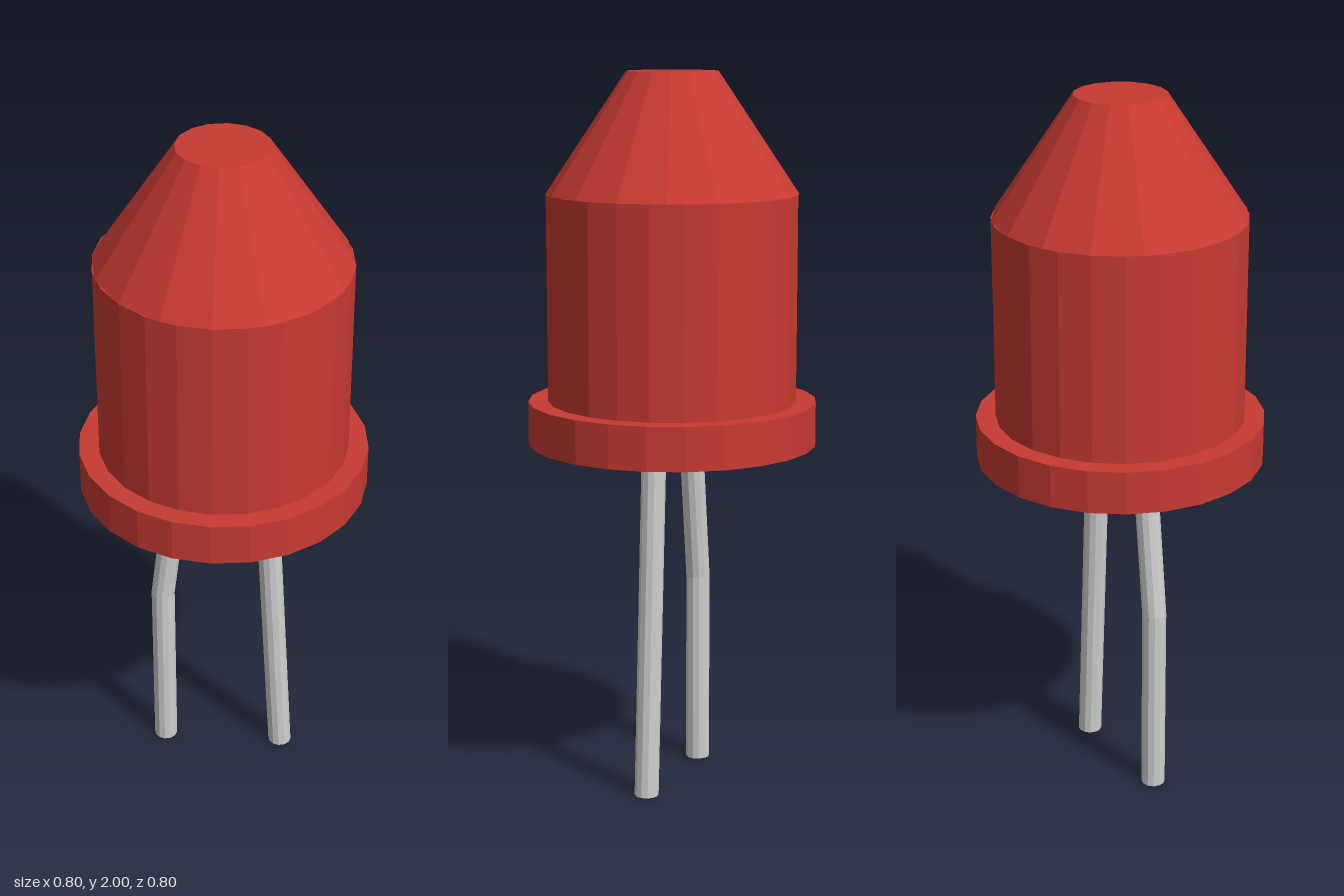
import * as THREE from 'three';

export function createModel() {
  const model = new THREE.Group();
  model.name = 'indicatorLamp';

  const redPlastic = new THREE.MeshStandardMaterial({ color: 0xc83a32, flatShading: true });
  redPlastic.name = 'redPlastic';
  const greyMetal = new THREE.MeshStandardMaterial({ color: 0xcdcfcd, flatShading: true });
  greyMetal.name = 'greyMetal';

  // Upright faceted section between two heights
  function section(name, bottomRadius, topRadius, y0, y1, sides) {
    const geometry = new THREE.CylinderGeometry(topRadius, bottomRadius, y1 - y0, sides);
    const mesh = new THREE.Mesh(geometry, redPlastic);
    mesh.name = name;
    mesh.position.y = (y0 + y1) / 2;
    model.add(mesh);
  }

  section('baseFlange', 0.4, 0.4, 0.98, 1.1, 24);
  section('bodyCylinder', 0.345, 0.345, 1.1, 1.67, 24);
  section('taperedTip', 0.346, 0.125, 1.67, 2, 16);

  // Wire leg with level ends: each ring moves sideways along a path of [x, y] points
  function leg(name, path) {
    const rings = path.length - 1;
    const geometry = new THREE.CylinderGeometry(0.034, 0.034, 1, 12, rings);
    const position = geometry.attributes.position;
    for (let i = 0; i < position.count; i++) {
      const [x, y] = path[Math.round((position.getY(i) + 0.5) * rings)];
      position.setXYZ(i, position.getX(i) + x, y, position.getZ(i));
    }
    geometry.computeVertexNormals();
    const mesh = new THREE.Mesh(geometry, greyMetal);
    mesh.name = name;
    model.add(mesh);
  }

  leg('bentRightLeg', [[-0.177, 0], [-0.177, 0.55], [-0.125, 0.985]]);
  leg('straightLeftLeg', [[0.172, 0], [0.119, 0.985]]);

  return model;
}
